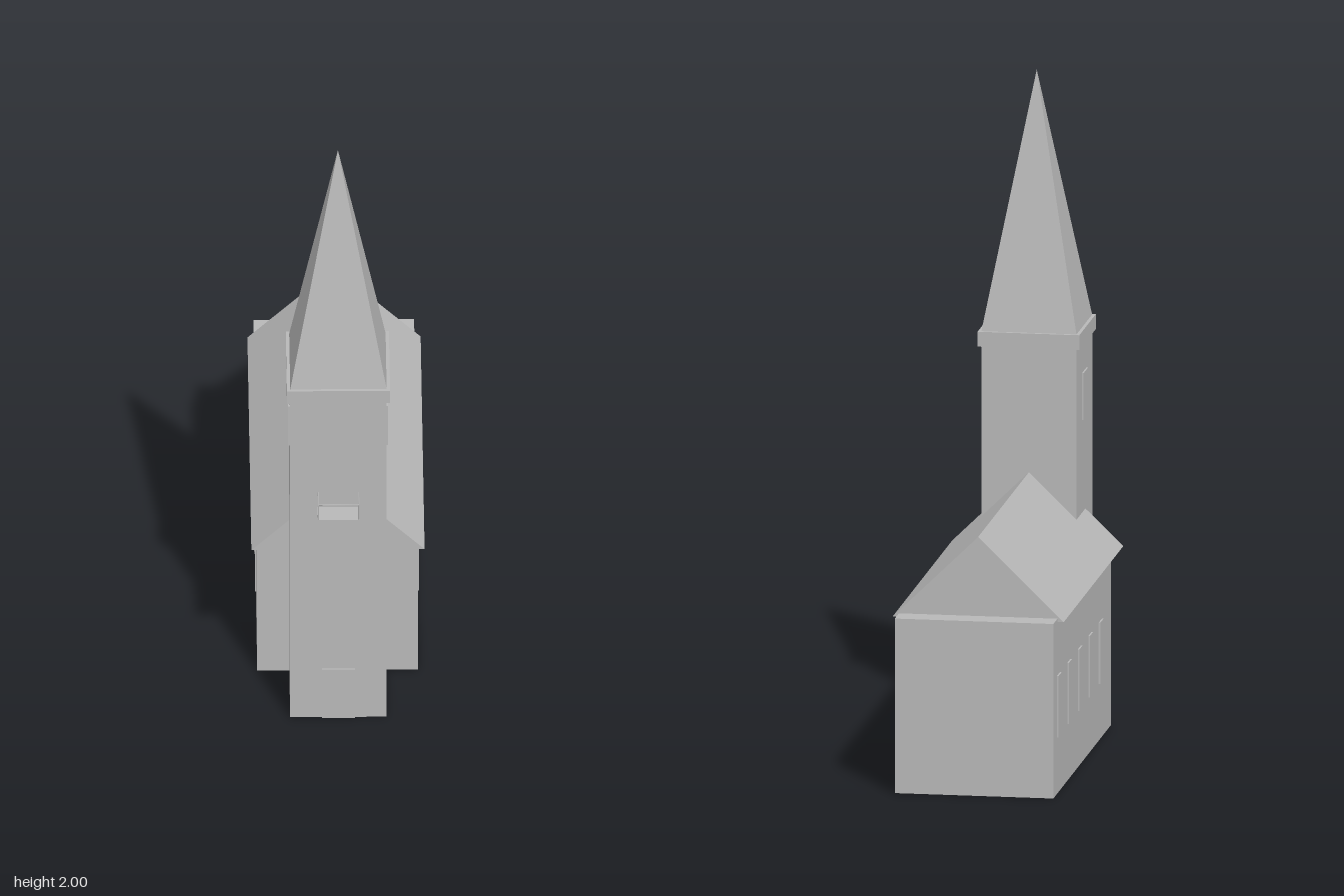
import * as THREE from 'three';

export function createModel() {
  const church = new THREE.Group();
  church.name = 'church';
  const stone = new THREE.MeshStandardMaterial({ color: 0xb8b8b8 });
  stone.name = 'grey stone';

  const add = (name, geometry, parent = church) => {
    const mesh = new THREE.Mesh(geometry, stone);
    mesh.name = name;
    parent.add(mesh);
    return mesh;
  };
  // Box given by its minimum and maximum corners
  const box = (name, [x0, y0, z0], [x1, y1, z1], parent) => {
    const mesh = add(name, new THREE.BoxGeometry(x1 - x0, y1 - y0, z1 - z0), parent);
    mesh.position.set((x0 + x1) / 2, (y0 + y1) / 2, (z0 + z1) / 2);
    return mesh;
  };
  // Thin round bar between two points
  const bar = (name, from, to, parent, radius = 0.002) => {
    const a = new THREE.Vector3(...from), b = new THREE.Vector3(...to);
    const mesh = add(name, new THREE.CylinderGeometry(radius, radius, a.distanceTo(b), 6), parent);
    mesh.position.copy(a).lerp(b, 0.5);
    mesh.quaternion.setFromUnitVectors(new THREE.Vector3(0, 1, 0), b.sub(a).normalize());
  };

  // Nave and its solid gable roof
  box('nave', [-0.243, 0, -0.69], [0.243, 0.54, 0.38]);
  const gable = new THREE.Shape([
    new THREE.Vector2(-0.262, 0.53),
    new THREE.Vector2(0.262, 0.53),
    new THREE.Vector2(0, 0.785),
  ]);
  const roof = add('naveRoof', new THREE.ExtrudeGeometry(gable, { depth: 1.11, bevelEnabled: false }));
  roof.position.z = -0.613;

  // Tower, cornice and pyramid spire
  const towerZ = 0.478;
  box('tower', [-0.146, 0, 0.332], [0.146, 1.175, 0.625]);
  box('towerCornice', [-0.156, 1.17, 0.322], [0.156, 1.216, 0.634]);
  const spireGeometry = new THREE.ConeGeometry(0.146 * Math.SQRT2, 0.785, 4, 1).rotateY(Math.PI / 4).toNonIndexed();
  spireGeometry.computeVertexNormals();
  add('spire', spireGeometry).position.set(0, 1.6075, towerZ);

  // Windows on both sides
  for (const side of [-1, 1]) {
    const plate = (name, x, y0, y1, z, width) => {
      const mesh = add(name, new THREE.BoxGeometry(0.008, y1 - y0, width));
      mesh.position.set(side * x, (y0 + y1) / 2, z);
    };
    plate('towerWindow', 0.147, 0.93, 1.075, 0.475, 0.08);
    for (let i = 0; i < 5; i++) plate('naveWindow', 0.244, 0.175, 0.365, 0.185 - i * 0.195, 0.058);
  }

  // Front door
  box('door', [-0.05, 0, 0.622], [0.05, 0.18, 0.63]);

  // Open balcony with railing and braces
  const balcony = new THREE.Group();
  balcony.name = 'balcony';
  church.add(balcony);
  box('balconyFloor', [-0.063, 0.77, 0.62], [0.063, 0.779, 0.692], balcony);
  bar('frontRail', [-0.061, 0.833, 0.69], [0.061, 0.833, 0.69], balcony);
  for (const side of [-1, 1]) {
    const x = side * 0.061;
    bar('sideRail', [x, 0.833, 0.624], [x, 0.833, 0.69], balcony);
    bar('railPost', [x, 0.775, 0.69], [x, 0.833, 0.69], balcony);
    bar('brace', [side * 0.046, 0.73, 0.622], [side * 0.046, 0.772, 0.682], balcony, 0.003);
  }
  return church;
}
